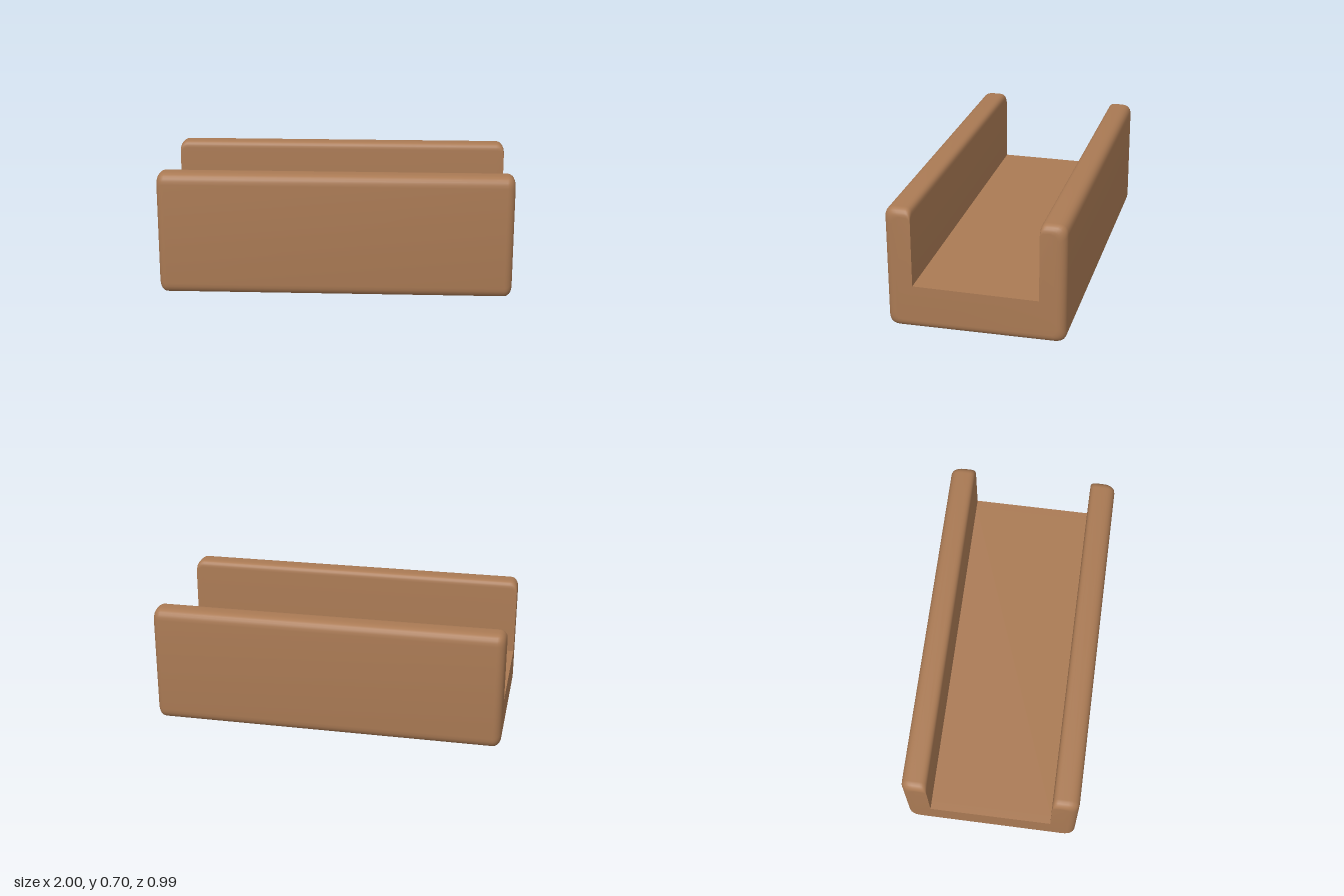
import * as THREE from 'three';
import { toCreasedNormals } from 'three/addons/utils/BufferGeometryUtils.js';

const R = 0.045; // rounding of the outer edges at both ends
const K = 6; // steps in each end rounding
const FLOOR = 0.26;

// Closed outline with rounded corners; each point is [z, y, radius]
function roundedOutline(points) {
  const shape = new THREE.Shape();
  const n = points.length;
  points.forEach(([x, y, r], i) => {
    const p = new THREE.Vector2(x, y);
    const toward = ([qx, qy]) =>
      new THREE.Vector2(qx, qy).sub(p).setLength(r).add(p);
    const a = toward(points[(i + n - 1) % n]);
    const b = toward(points[(i + 1) % n]);
    if (i === 0) shape.moveTo(a.x, a.y);
    else shape.lineTo(a.x, a.y);
    if (r > 0) shape.quadraticCurveTo(x, y, b.x, b.y);
  });
  shape.closePath();
  return shape;
}

export function createModel() {
  const group = new THREE.Group();
  group.name = 'channelBlock';
  const brown = new THREE.MeshStandardMaterial({ color: 0xaa7a54 });
  brown.name = 'warm brown';

  // U-shaped section, horizontal axis is -z
  const section = roundedOutline([
    [-0.492, 0.003, 0.06], [0.495, 0.018, 0.06],
    [0.495, 0.697, 0.06], [0.352, 0.697, 0.04],
    [0.352, FLOOR, 0], [-0.345, FLOOR, 0],
    [-0.345, 0.704, 0.04], [-0.492, 0.704, 0.06],
  ]);
  const steps = 2 * K + 1;
  let geometry = new THREE.ExtrudeGeometry(section, {
    depth: steps, steps, curveSegments: 6, bevelEnabled: false,
  });
  geometry.rotateY(Math.PI / 2);

  // Place the stations along x and draw in only the outer faces at the ends
  const pos = geometry.attributes.position;
  for (let i = 0; i < pos.count; i++) {
    const k = Math.round(pos.getX(i));
    const side = k <= K ? -1 : 1;
    const a = ((side < 0 ? k : steps - k) / K) * Math.PI / 2;
    const inset = R * (1 - Math.sin(a));
    const y = pos.getY(i);
    const z = pos.getZ(i);
    const wz = THREE.MathUtils.clamp((Math.abs(z) - 0.352) / 0.14, 0, 1);
    const wy = y > FLOOR ? (y - FLOOR) / 0.44 : (y - FLOOR) / 0.25;
    pos.setXYZ(i, side * (1 - R * (1 - Math.cos(a))), y - wy * inset, z - Math.sign(z) * wz * inset);
  }

  // Smooth the roundings, keep the channel edges sharp
  geometry.scale(100, 100, 100);
  geometry = toCreasedNormals(geometry, 0.6);
  geometry.scale(0.01, 0.01, 0.01);

  const body = new THREE.Mesh(geometry, brown);
  body.name = 'channelBody';
  group.add(body);
  return group;
}
